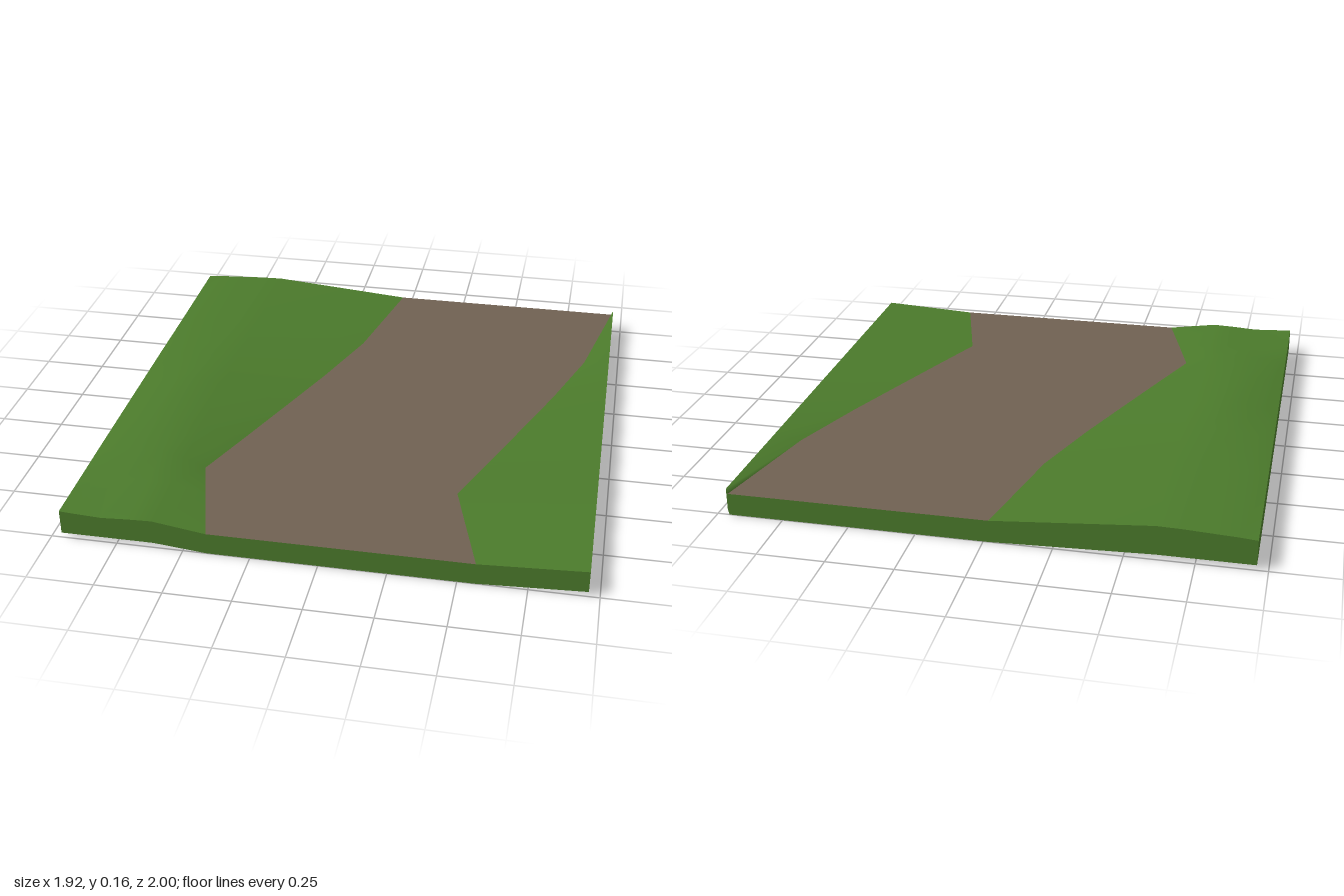
import * as THREE from 'three';

// Stations along z: path's left edge, then heights of the five hill columns
const HILL_X = [-0.96, -0.9, -0.8, -0.7, -0.61];
const STATIONS = [
  { z: -1.0, path: -0.02, hill: [0.115, 0.12, 0.125, 0.13, 0.132] },
  { z: -0.52, path: -0.12, hill: [0.115, 0.13, 0.135, 0.138, 0.138] },
  { z: -0.2, path: -0.23, hill: [0.117, 0.13, 0.143, 0.145, 0.138] },
  { z: 0.05, path: -0.325, hill: [0.117, 0.133, 0.155, 0.16, 0.14] },
  { z: 0.35, path: -0.44, hill: [0.117, 0.133, 0.145, 0.145, 0.134] },
  { z: 0.58, path: -0.53, hill: [0.117, 0.131, 0.141, 0.138, 0.12] },
  { z: 0.75, path: -0.482, hill: [0.116, 0.115, 0.118, 0.12, 0.117] },
  { z: 1.0, path: -0.41, hill: [0.115, 0.111, 0.106, 0.112, 0.115] },
];
const PATH_WIDTH = 0.975;
const PATH_Y = 0.085;
const EDGE_X = 0.96;
const EDGE_Y = 0.105;
const LIFT = 0.02; // underside height below the banks

// Skin a grid of points given as rows
function sheet(rows) {
  const n = rows[0].length;
  const index = [];
  for (let j = 0; j < rows.length - 1; j++) {
    for (let i = 0; i < n - 1; i++) {
      const a = j * n + i, b = a + 1, c = a + n, d = c + 1;
      index.push(a, c, b, b, c, d);
    }
  }
  const geometry = new THREE.BufferGeometry();
  geometry.setAttribute('position', new THREE.Float32BufferAttribute(rows.flat(2), 3));
  geometry.setIndex(index);
  geometry.computeVertexNormals();
  return geometry;
}

export function createModel() {
  const grass = new THREE.MeshStandardMaterial({ color: 0x4b7a2b });
  grass.name = 'grass green';
  const dirt = new THREE.MeshStandardMaterial({ color: 0x706152 });
  dirt.name = 'dirt brown';

  const group = new THREE.Group();
  group.name = 'terrainTile';
  const add = (name, rows, material) => {
    const mesh = new THREE.Mesh(sheet(rows), material);
    mesh.name = name;
    group.add(mesh);
  };

  // Cross-sections of the ground and of the underside
  const top = STATIONS.map(({ z, path, hill }) => [
    ...HILL_X.map((x, i) => [x, hill[i], z]),
    [path, PATH_Y, z],
    [Math.min(path + PATH_WIDTH, 0.955), PATH_Y, z],
    [EDGE_X, EDGE_Y, z],
  ]);
  const bottom = top.map((row) => row.map(([x, , z], i) => [x, i === 5 || i === 6 ? 0 : LIFT, z]));

  // Upper surface: hilly bank, winding path, low bank
  const slice = (from, to) => top.map((row) => row.slice(from, to));
  add('leftHillBank', slice(0, 6), grass);
  add('dirtPath', slice(5, 7), dirt);
  add('rightLowBank', slice(6, 8), grass);

  // Underside
  add('underside', [...bottom].reverse(), grass);

  // Side walls
  const last = top.length - 1;
  const column = (rows, i) => rows.map((row) => row[i]);
  add('frontWall', [top[last], bottom[last]], grass);
  add('backWall', [bottom[0], top[0]], grass);
  add('hillSideWall', [column(top, 0), column(bottom, 0)], grass);
  add('lowSideWall', [column(bottom, 7), column(top, 7)], grass);

  return group;
}
